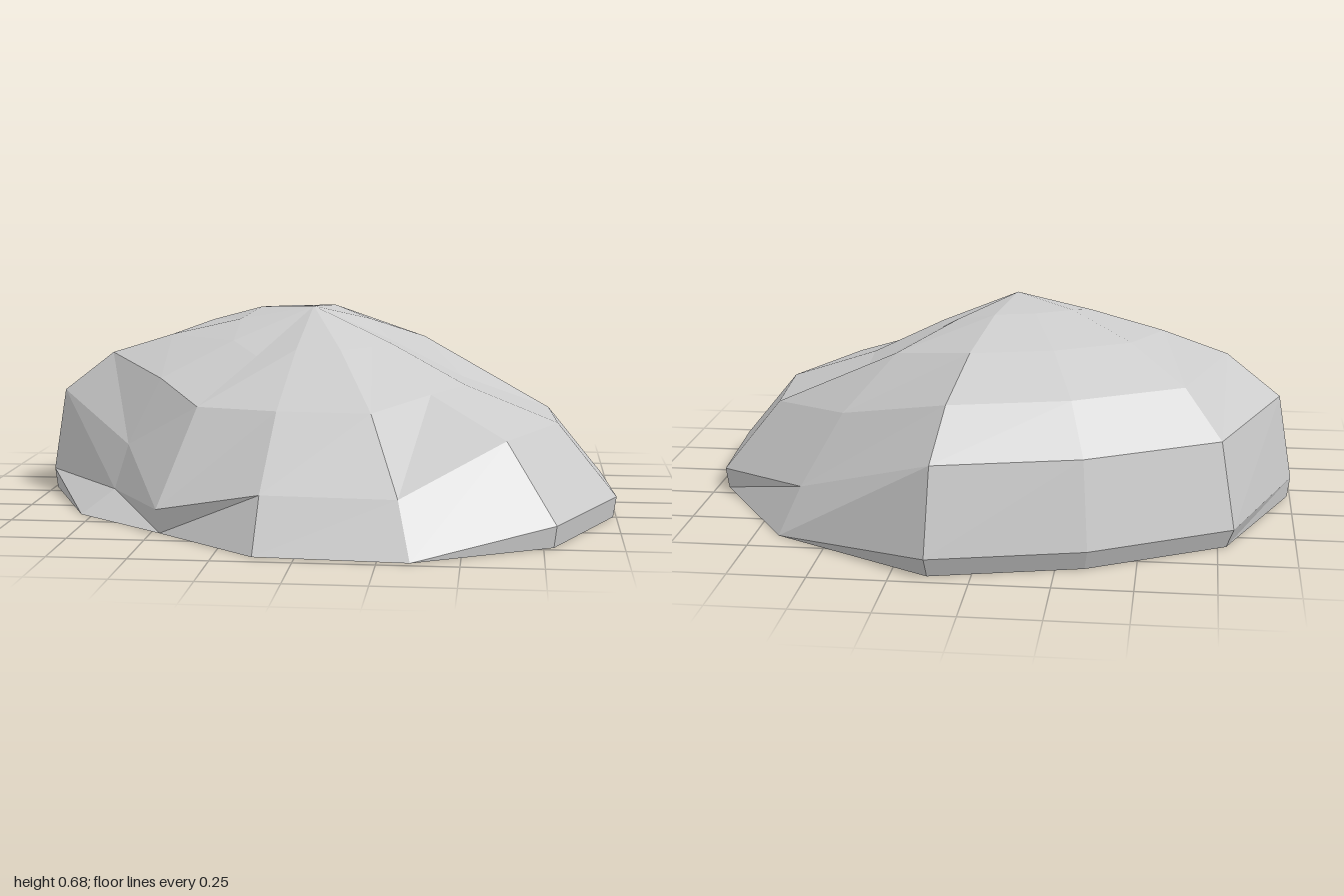
import * as THREE from 'three';

// Side profiles from the peak out to the ground: [fraction of spoke length, height]
const dome = [[0.27, 0.66], [0.54, 0.595], [0.78, 0.49], [0.94, 0.345], [1, 0.065], [0.97, 0]];
const shoulder = [[0.26, 0.62], [0.52, 0.54], [0.74, 0.37], [0.91, 0.15], [1, 0], [1, 0]];
const slope = [[0.26, 0.56], [0.51, 0.425], [0.81, 0.31], [1, 0.07], [0.99, 0], [0.99, 0]];
const apron = [[0.31, 0.56], [0.63, 0.395], [0.89, 0.17], [1, 0], [1, 0], [1, 0]];
const corner = [[0.38, 0.53], [0.75, 0.39], [1, 0.08], [0.98, 0], [0.98, 0], [0.98, 0]];
const notch = [[0.35, 0.57], [0.66, 0.45], [0.8, 0.23], [0.86, 0.08], [1, 0], [1, 0]];
const crest = [[0.27, 0.63], [0.53, 0.57], [0.76, 0.5], [0.95, 0.36], [1, 0.07], [0.99, 0]];

// Spokes around the peak: outer end x, z and the profile followed
const spokes = [
  [0.14, -0.98, dome], [0.67, -0.65, shoulder], [0.97, -0.19, slope],
  [1.0, 0.25, slope], [0.79, 0.73, slope], [0.35, 0.97, apron],
  [-0.13, 0.94, apron], [-0.48, 0.66, corner], [-0.79, 0.39, notch],
  [-1.0, -0.07, crest], [-0.8, -0.61, dome], [-0.35, -0.86, dome],
];
const peak = new THREE.Vector3(-0.04, 0.68, 0.04);

function rockGeometry() {
  const n = spokes.length, rings = dome.length;
  const positions = [...peak.toArray()];
  const index = [];

  // Rings of points, from the peak outward
  for (let r = 0; r < rings; r++) {
    for (const [x, z, profile] of spokes) {
      const [t, y] = profile[r];
      positions.push(peak.x + (x - peak.x) * t, y, peak.z + (z - peak.z) * t);
    }
  }
  const at = (r, s) => 1 + r * n + (s % n);
  const base = 1 + rings * n;
  positions.push(0, 0, 0);

  for (let s = 0; s < n; s++) {
    // Cap, side facets and flat underside
    index.push(0, at(0, s + 1), at(0, s));
    for (let r = 0; r < rings - 1; r++) {
      const a = at(r, s), b = at(r, s + 1), c = at(r + 1, s), d = at(r + 1, s + 1);
      index.push(a, b, d, a, d, c);
    }
    index.push(base, at(rings - 1, s), at(rings - 1, s + 1));
  }

  const indexed = new THREE.BufferGeometry();
  indexed.setAttribute('position', new THREE.Float32BufferAttribute(positions, 3));
  indexed.setIndex(index);
  const geometry = indexed.toNonIndexed();
  geometry.computeVertexNormals();
  return geometry;
}

export function createModel() {
  const group = new THREE.Group();
  group.name = 'boulder';
  const rock = new THREE.Mesh(
    rockGeometry(),
    new THREE.MeshStandardMaterial({ color: 0xcccccc, flatShading: true })
  );
  rock.name = 'rock';
  group.add(rock);
  return group;
}
